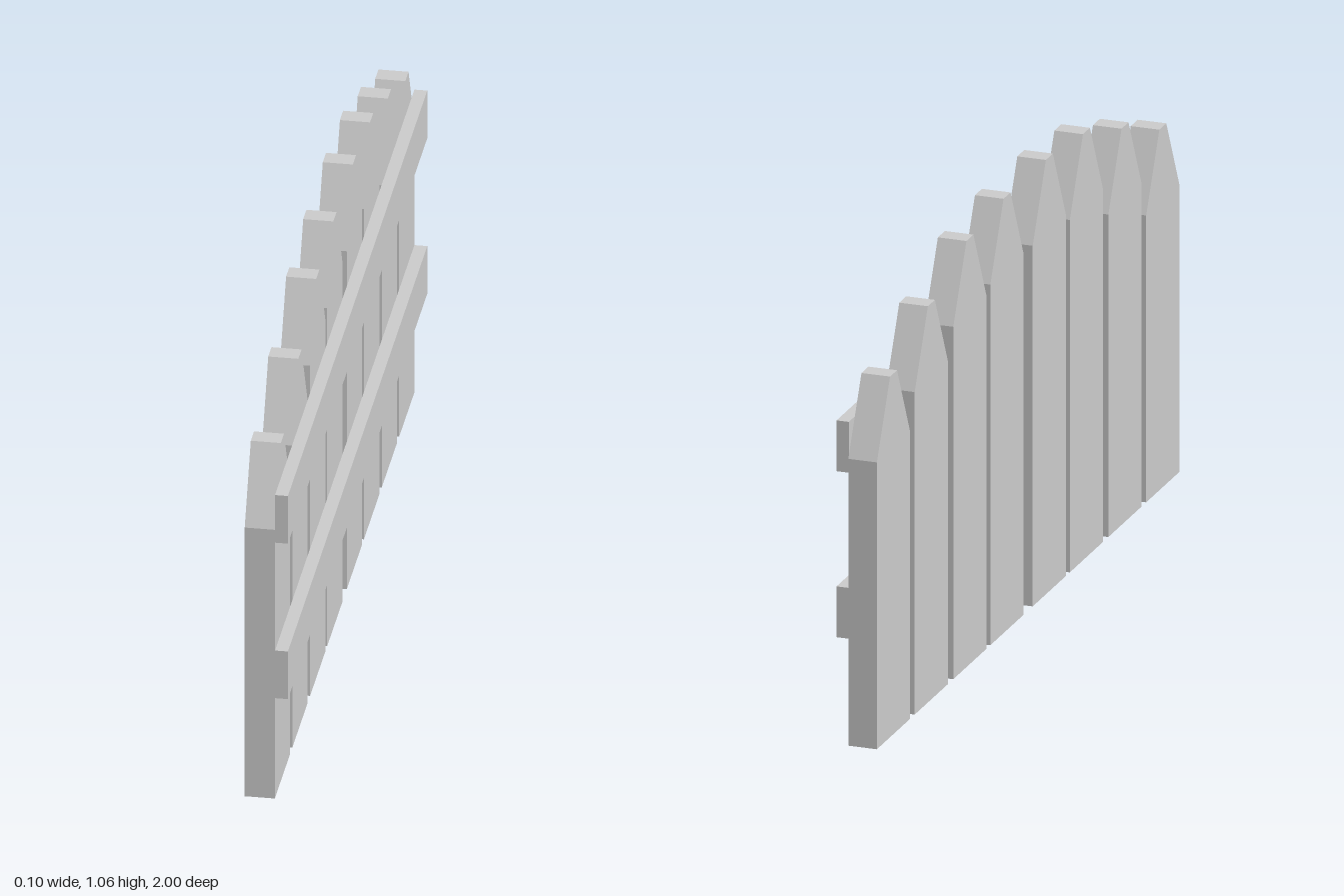
import * as THREE from 'three';

const material = new THREE.MeshStandardMaterial({ color: 0xcccccc, flatShading: true });

// Pointed board with a small flat tip, standing in the yz plane
function makePicket(height, z) {
  const half = 0.11, tip = 0.023, shoulder = height - 0.18, depth = 0.07;
  const shape = new THREE.Shape([
    new THREE.Vector2(-half, 0),
    new THREE.Vector2(half, 0),
    new THREE.Vector2(half, shoulder),
    new THREE.Vector2(tip, height),
    new THREE.Vector2(-tip, height),
    new THREE.Vector2(-half, shoulder),
  ]);
  const geometry = new THREE.ExtrudeGeometry(shape, { depth, bevelEnabled: false });
  geometry.rotateY(Math.PI / 2);
  const picket = new THREE.Mesh(geometry, material);
  picket.name = 'picket';
  picket.position.set(-0.05, 0, z);
  return picket;
}

// Horizontal board fixed to the +x face of the pickets
function makeRail(name, y) {
  const rail = new THREE.Mesh(new THREE.BoxGeometry(0.03, 0.124, 1.994), material);
  rail.name = name;
  rail.position.set(0.035, y, 0);
  return rail;
}

export function createModel() {
  const fence = new THREE.Group();
  fence.name = 'picketFence';

  // Pickets rise toward the middle, mirrored about z = 0: [z, height]
  const pickets = [[0.14, 1.06], [0.385, 1.04], [0.64, 0.967], [0.89, 0.88]];
  for (const [z, height] of pickets) {
    for (const side of [1, -1]) fence.add(makePicket(height, side * z));
  }

  fence.add(makeRail('lowerRail', 0.322), makeRail('upperRail', 0.727));
  return fence;
}
